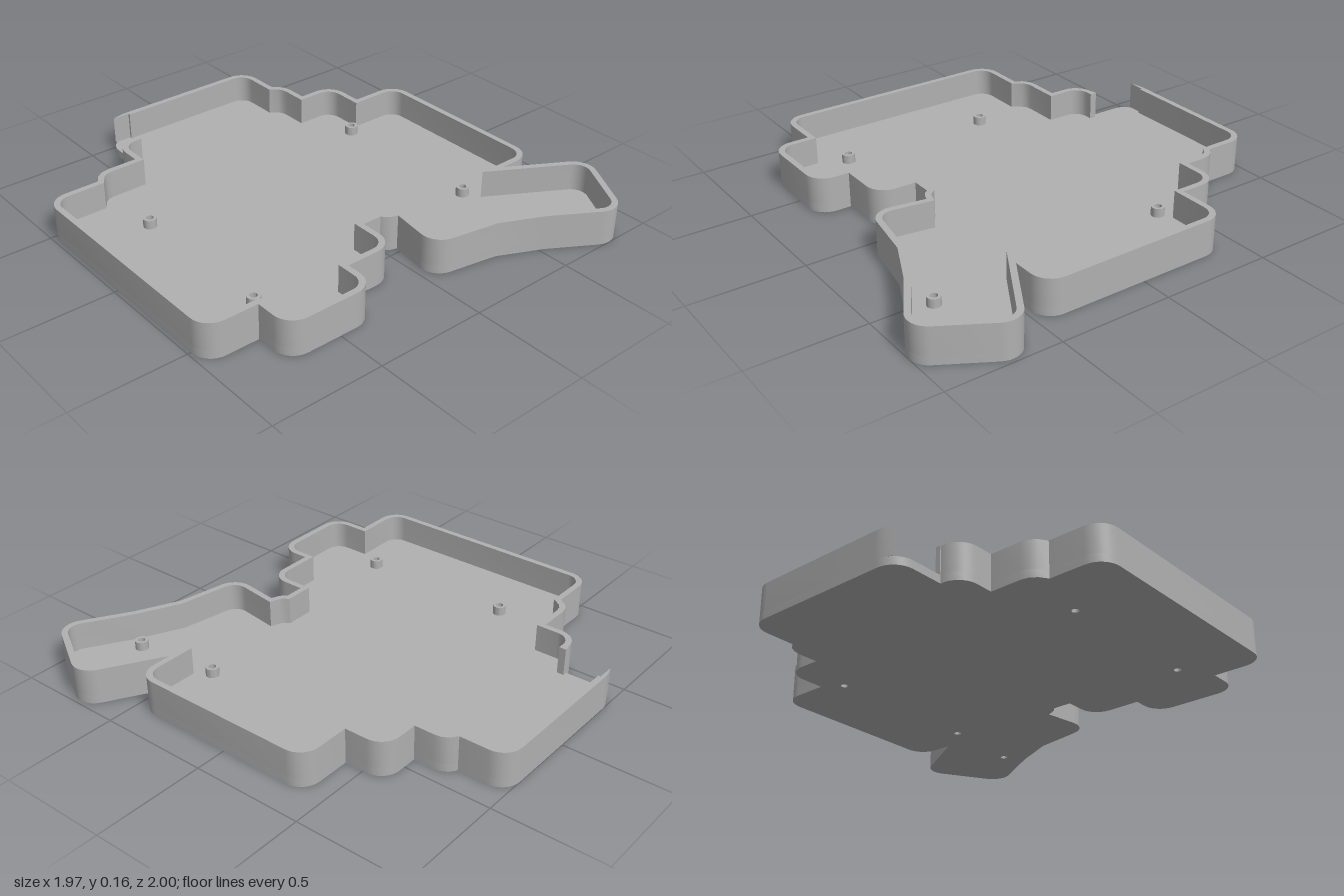
import * as THREE from 'three';
import { toCreasedNormals } from 'three/addons/utils/BufferGeometryUtils.js';

const HEIGHT = 0.16, FLOOR = 0.035, WALL = 0.027, R = 0.09;

// Outline corners as [x, z, radius], from the back edge round to the cable opening
const corners = [
  [-0.3, -1, 0], [0.39, -1, R], [0.39, -0.778, 0],
  [0.42, -0.755, 0], [0.435, -0.728, 0], [0.44, -0.695, 0],
  [0.44, -0.607, 0], [0.62, -0.607, R], [0.62, -0.415, 0], [0.86, -0.415, R],
  [0.86, 0.475, R], [0.68, 0.475, 0],
  // angled thumb wing
  [1.015, 0.67, R], [0.803, 1.033, R], [0.52, 0.862, 0], [0.33, 0.773, 0],
  [0.023, 0.72, R], [0.06, 0.475, 0],
  // notch and front steps
  [0.035, 0.467, 0], [0.012, 0.453, 0], [0, 0.435, 0], [-0.09, 0.435, 0],
  [-0.09, 0.617, R], [-0.33, 0.617, 0], [-0.33, 0.772, R], [-0.745, 0.772, R],
  [-0.745, 0.595, 0], [-0.985, 0.595, R],
  // left side and back steps
  [-0.985, -0.535, R], [-0.737, -0.535, 0], [-0.713, -0.57, 0], [-0.685, -0.59, 0],
  [-0.65, -0.597, 0], [-0.51, -0.597, 0], [-0.51, -0.765, R], [-0.388, -0.765, 0],
];
const posts = [[-0.655, -0.27], [0.535, -0.355], [0.535, 0.38], [-0.655, 0.445], [0.575, 0.77]];

// Replace each corner that has a radius by an arc
function roundPath(list) {
  const out = [];
  list.forEach(([x, z, r], i) => {
    const p = new THREE.Vector2(x, z);
    if (!r) return out.push(p);
    const a = new THREE.Vector2(...list[i - 1].slice(0, 2)).sub(p).normalize();
    const b = new THREE.Vector2(...list[i + 1].slice(0, 2)).sub(p).normalize();
    const half = Math.acos(a.dot(b)) / 2;
    const mid = a.clone().add(b).normalize();
    const c = p.clone().addScaledVector(mid, r / Math.sin(half));
    const start = p.clone().addScaledVector(a, r / Math.tan(half)).sub(c);
    const sweep = Math.PI - 2 * half, steps = 8;
    for (let k = 0; k <= steps; k++) {
      out.push(start.clone().rotateAround(new THREE.Vector2(), (sweep * k) / steps).add(c));
    }
  });
  return out;
}

// Mitred offset of an open path towards its inside
function inset(path, d) {
  const normal = (a, b) => new THREE.Vector2(a.y - b.y, b.x - a.x).normalize();
  return path.map((p, i) => {
    const n1 = normal(path[Math.max(i - 1, 0)], path[Math.max(i, 1)]);
    const last = path.length - 1;
    const n2 = normal(path[Math.min(i, last - 1)], path[Math.min(i + 1, last)]);
    return p.clone().addScaledVector(n1.clone().add(n2), d / (1 + n1.dot(n2)));
  });
}

// Upright prism of a plan shape between two heights
function prism(shape, y0, y1) {
  const g = new THREE.ExtrudeGeometry(shape, { depth: y1 - y0, bevelEnabled: false, curveSegments: 20 });
  g.rotateX(Math.PI / 2).translate(0, y1, 0);
  return toCreasedNormals(g, 0.6);
}

function circle(x, z, r) {
  return new THREE.Path().absarc(x, z, r, 0, Math.PI * 2, true);
}

export function createModel() {
  const group = new THREE.Group();
  const grey = new THREE.MeshStandardMaterial({ color: 0xb0b0b0 });
  grey.name = 'grey plastic';
  const add = (name, geometry) => {
    const mesh = new THREE.Mesh(geometry, grey);
    mesh.name = name;
    group.add(mesh);
  };

  const outer = roundPath(corners);

  // Floor plate with screw holes, closed across the cable opening
  const closing = roundPath([
    [-0.388, -0.765, 0], [-0.41, -0.765, 0], [-0.41, -1, R], [-0.3, -1, 0],
  ]).slice(1, -1);
  const floor = new THREE.Shape([...outer, ...closing]);
  posts.forEach(([x, z]) => floor.holes.push(circle(x, z, 0.016)));
  add('floor', prism(floor, 0, FLOOR));

  // Rim wall, open at the cable opening
  const rim = new THREE.Shape([...outer, ...inset(outer, WALL).reverse()]);
  add('rimWall', prism(rim, FLOOR, HEIGHT));

  // Thin tapering end of the back wall and the short return beside the opening
  const taper = [[-0.38, -0.984], [-0.35, -0.994], [-0.32, -1], [-0.3, -1], [-0.3, -0.984]];
  add('wallTaper', prism(new THREE.Shape(taper.map((p) => new THREE.Vector2(...p))), FLOOR, HEIGHT));
  const stub = [[-0.41, -0.77], [-0.388, -0.77], [-0.388, -0.738], [-0.41, -0.738]];
  add('wallReturn', prism(new THREE.Shape(stub.map((p) => new THREE.Vector2(...p))), FLOOR, HEIGHT));

  // Hollow screw posts
  posts.forEach(([x, z]) => {
    const ring = new THREE.Shape().absarc(x, z, 0.029, 0, Math.PI * 2, false);
    ring.holes.push(circle(x, z, 0.016));
    add('screwPost', prism(ring, FLOOR, FLOOR + 0.04));
  });

  return group;
}
